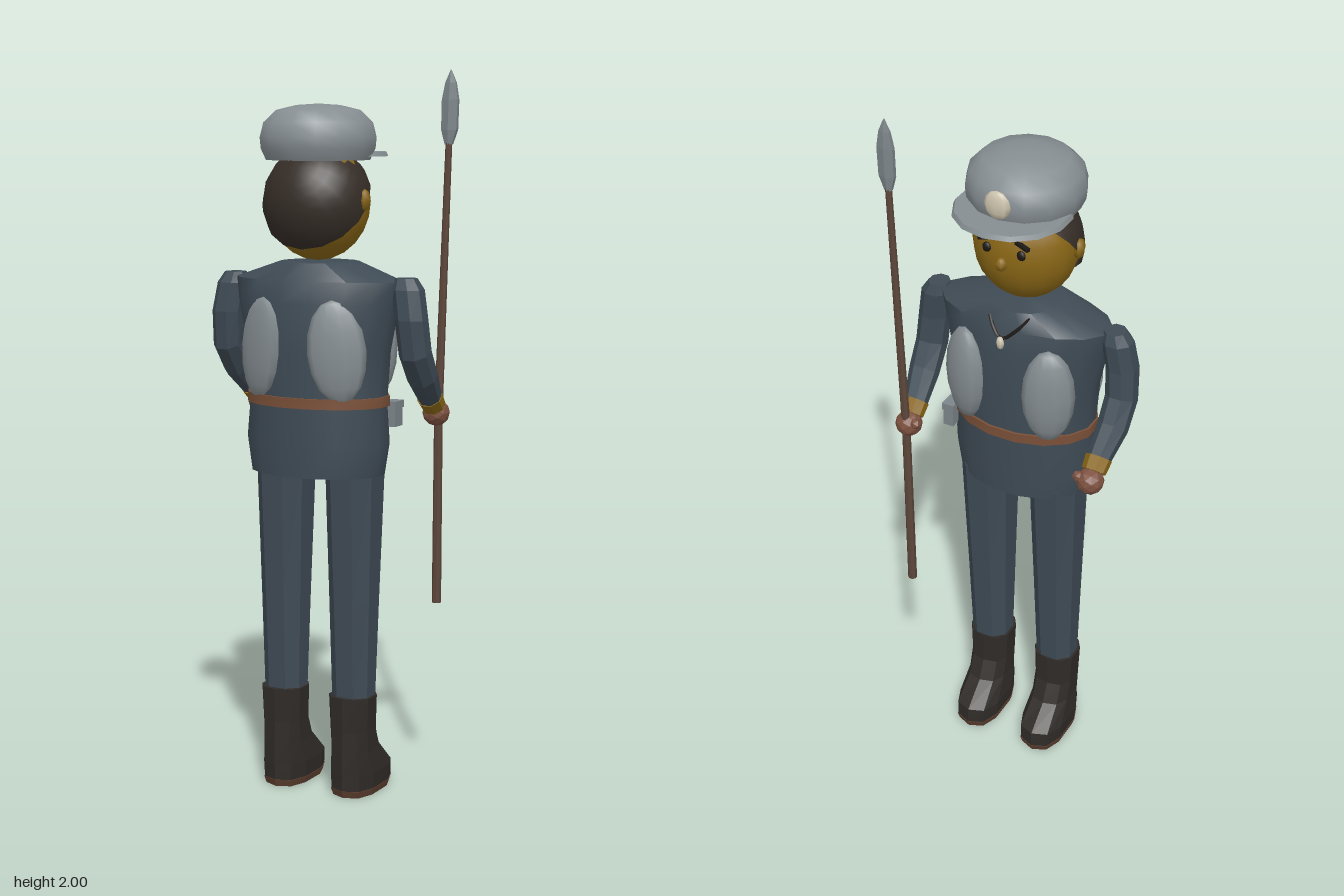
import * as THREE from 'three';
import { toCreasedNormals } from 'three/addons/utils/BufferGeometryUtils.js';

const mat = (color, flat = false) =>
  new THREE.MeshStandardMaterial({ color, flatShading: flat, side: THREE.DoubleSide });
const M = {
  cloth: mat(0x3f4b55), clothFlat: mat(0x3f4b55, true), cap: mat(0x868e92), pad: mat(0x848c90),
  hair: mat(0x352d27), skin: mat(0x8a6716), cuff: mat(0x8a6716, true), glove: mat(0x7d5140, true),
  belt: mat(0x7a5038), boot: mat(0x2f2b28, true), sole: mat(0x5e4030, true), wood: mat(0x5c463a),
  steel: mat(0x7c858a, true), badge: mat(0xcfc6b0), dark: mat(0x1c1815),
};

// Rings from bottom to top: [x, y, z, rx, rz, tilt about x]; power > 2 squares the rings
function loft(rings, sides, power = 2, crease = 0.7) {
  const pos = [], idx = [], v = new THREE.Vector3(), X = new THREE.Vector3(1, 0, 0);
  const round = t => Math.sign(t) * Math.abs(t) ** (2 / power);
  for (const [x, y, z, rx, rz, tilt = 0] of rings) {
    for (let i = 0; i < sides; i++) {
      const a = ((i + 0.5) / sides) * Math.PI * 2;
      v.set(round(Math.cos(a)) * rx, 0, round(Math.sin(a)) * rz).applyAxisAngle(X, tilt);
      pos.push(v.x + x, v.y + y, v.z + z);
    }
  }
  for (let r = 0; r < rings.length - 1; r++) {
    for (let i = 0; i < sides; i++) {
      const a = r * sides + i, b = r * sides + (i + 1) % sides;
      idx.push(a, a + sides, b, b, a + sides, b + sides);
    }
  }
  const first = rings[0], last = rings[rings.length - 1], top = (rings.length - 1) * sides;
  const c = pos.length / 3;
  pos.push(first[0], first[1], first[2], last[0], last[1], last[2]);
  for (let i = 0; i < sides; i++) {
    const j = (i + 1) % sides;
    idx.push(c, i, j, c + 1, top + j, top + i);
  }
  const g = new THREE.BufferGeometry();
  g.setAttribute('position', new THREE.Float32BufferAttribute(pos, 3));
  g.setIndex(idx);
  return toCreasedNormals(g, crease);
}

function add(parent, name, geometry, material, x = 0, y = 0, z = 0) {
  const m = new THREE.Mesh(geometry, material);
  m.name = name;
  m.position.set(x, y, z);
  parent.add(m);
  return m;
}

const ball = (rx, ry, rz, w = 10, h = 8) => new THREE.SphereGeometry(1, w, h).scale(rx, ry, rz);

function makeHead() {
  const head = new THREE.Group();
  head.name = 'head';
  add(head, 'face', ball(0.145, 0.16, 0.135, 16, 12), M.skin, 0, 1.65, 0.04);
  // hair shell covers the back and crown, cut on a slant
  const hair = new THREE.SphereGeometry(1, 16, 8, 0, Math.PI * 2, 0, Math.PI / 2);
  add(head, 'hair', hair.rotateX(0.88).scale(0.154, 0.158, 0.143), M.hair, 0, 1.645, 0.04);
  add(head, 'nose', ball(0.016, 0.019, 0.018, 6, 5), M.skin, 0, 1.645, -0.1);
  for (const s of [-1, 1]) {
    add(head, 'ear', ball(0.014, 0.03, 0.024, 6, 4), M.skin, s * 0.148, 1.655, 0.05);
    add(head, 'eye', ball(0.013, 0.014, 0.008, 8, 6), M.dark, s * 0.05, 1.675, -0.085);
    add(head, 'eyebrow', new THREE.BoxGeometry(0.045, 0.009, 0.012), M.dark, s * 0.052, 1.703, -0.083)
      .rotation.set(0, s * 0.3, -s * 0.15);
  }
  // cap
  const profile = [[0, 1.76], [0.143, 1.76], [0.157, 1.79], [0.16, 1.82], [0.15, 1.86], [0.115, 1.893],
    [0.06, 1.906], [0, 1.91]].map(p => new THREE.Vector2(...p));
  add(head, 'capCrown', toCreasedNormals(new THREE.LatheGeometry(profile, 14), 0.7), M.cap, 0, 0, 0.038);
  add(head, 'capPeak', new THREE.CylinderGeometry(0.152, 0.158, 0.012, 14), M.cap, 0, 1.775, -0.036);
  add(head, 'capBadge', ball(0.038, 0.04, 0.014, 8, 6), M.badge, 0, 1.825, -0.118);
  return head;
}

function makeTorso() {
  const torso = new THREE.Group();
  torso.name = 'torso';
  add(torso, 'jacket', loft([
    [0, 0.91, 0.042, 0.197, 0.138], [0, 1.0, 0.042, 0.212, 0.142], [0, 1.11, 0.04, 0.203, 0.14],
    [0, 1.25, 0.04, 0.213, 0.143], [0, 1.38, 0.04, 0.24, 0.135], [0, 1.44, 0.036, 0.25, 0.122],
    [0, 1.487, 0.03, 0.11, 0.1],
  ], 16), M.cloth);
  add(torso, 'belt', loft([[0, 1.1, 0.04, 0.21, 0.147], [0, 1.128, 0.04, 0.21, 0.147]], 16), M.belt);
  // padded panels, two on the chest and two on the back
  for (const s of [-1, 1]) {
    const chest = add(torso, 'chestPanel', ball(0.072, 0.142, 0.042), M.pad, s * 0.125, 1.26, -0.073);
    chest.rotation.y = -s * 0.43;
    const back = add(torso, 'backPanel', ball(0.08, 0.14, 0.027), M.pad, s * 0.117, 1.255, 0.15);
    back.rotation.set(0, s * 0.4, s * 0.1);
  }
  // pendant on a cord
  const cord = new THREE.CatmullRomCurve3([[-0.065, 1.48, -0.05], [-0.035, 1.445, -0.086],
    [0, 1.42, -0.103], [0.035, 1.445, -0.086], [0.065, 1.48, -0.05]].map(p => new THREE.Vector3(...p)));
  add(torso, 'cord', new THREE.TubeGeometry(cord, 12, 0.005, 5), M.dark);
  add(torso, 'pendant', ball(0.012, 0.02, 0.01, 6, 4), M.badge, 0, 1.41, -0.108);
  // belt pouch on the spear side
  add(torso, 'pouch', new THREE.BoxGeometry(0.03, 0.07, 0.045), M.steel, 0.2, 1.075, -0.025);
  add(torso, 'pouchFlap', new THREE.BoxGeometry(0.036, 0.02, 0.05), M.steel, 0.2, 1.1, -0.025);
  return torso;
}

function makeArm(s, name) {
  const arm = new THREE.Group();
  arm.name = name;
  add(arm, 'sleeve', loft([
    [s * 0.282, 1.115, -0.083, 0.034, 0.032, 0.8], [s * 0.29, 1.18, -0.018, 0.043, 0.042, 0.75],
    [s * 0.291, 1.25, 0.03, 0.044, 0.047, 0.4], [s * 0.285, 1.34, 0.042, 0.045, 0.047],
    [s * 0.272, 1.42, 0.036, 0.044, 0.045], [s * 0.265, 1.45, 0.034, 0.03, 0.032],
  ], 8), M.clothFlat);
  add(arm, 'cuff', loft([
    [s * 0.281, 1.09, -0.108, 0.034, 0.031, 0.8], [s * 0.282, 1.118, -0.08, 0.037, 0.035, 0.8],
  ], 8), M.cuff);
  add(arm, 'hand', new THREE.IcosahedronGeometry(0.038, 1), M.glove, s * 0.28, 1.07, -0.125);
  add(arm, 'thumb', new THREE.IcosahedronGeometry(0.016, 0), M.glove, s * 0.25, 1.085, -0.14);
  return arm;
}

function makeLeg(s, name) {
  const leg = new THREE.Group();
  leg.name = name;
  const x = s * 0.108;
  add(leg, 'trouser', loft([
    [x, 0.25, 0.032, 0.058, 0.055], [x, 0.55, 0.03, 0.066, 0.07], [x, 0.93, 0.027, 0.077, 0.09],
  ], 8, 2.3), M.clothFlat);
  add(leg, 'boot', loft([
    [x, 0.02, -0.016, 0.064, 0.115], [x, 0.065, -0.014, 0.067, 0.114], [x, 0.13, 0.022, 0.06, 0.078],
    [x, 0.19, 0.034, 0.06, 0.064], [x, 0.285, 0.036, 0.064, 0.064],
  ], 10, 2.6), M.boot);
  add(leg, 'sole', loft([
    [x, 0, -0.016, 0.06, 0.11], [x, 0.02, -0.016, 0.066, 0.117],
  ], 10, 2.6), M.sole);
  return leg;
}

// Spear leans slightly outward, gripped in one hand
function makeSpear() {
  const spear = new THREE.Group();
  spear.name = 'spear';
  add(spear, 'shaft', loft([
    [0.279, 0.53, -0.14, 0.013, 0.013], [0.28, 1.07, -0.14, 0.012, 0.012], [0.305, 1.83, -0.14, 0.009, 0.009],
  ], 8), M.wood);
  add(spear, 'blade', loft([
    [0.304, 1.8, -0.14, 0.012, 0.009], [0.306, 1.84, -0.14, 0.026, 0.013],
    [0.308, 1.92, -0.14, 0.027, 0.012], [0.309, 1.965, -0.14, 0.018, 0.008], [0.309, 2.0, -0.14, 0.001, 0.001],
  ], 6), M.steel);
  return spear;
}

export function createModel() {
  const model = new THREE.Group();
  model.name = 'guard';
  model.add(makeHead(), makeTorso(), makeSpear());
  model.add(makeArm(1, 'spearArm'), makeArm(-1, 'freeArm'));
  model.add(makeLeg(1, 'spearSideLeg'), makeLeg(-1, 'freeSideLeg'));
  return model;
}
